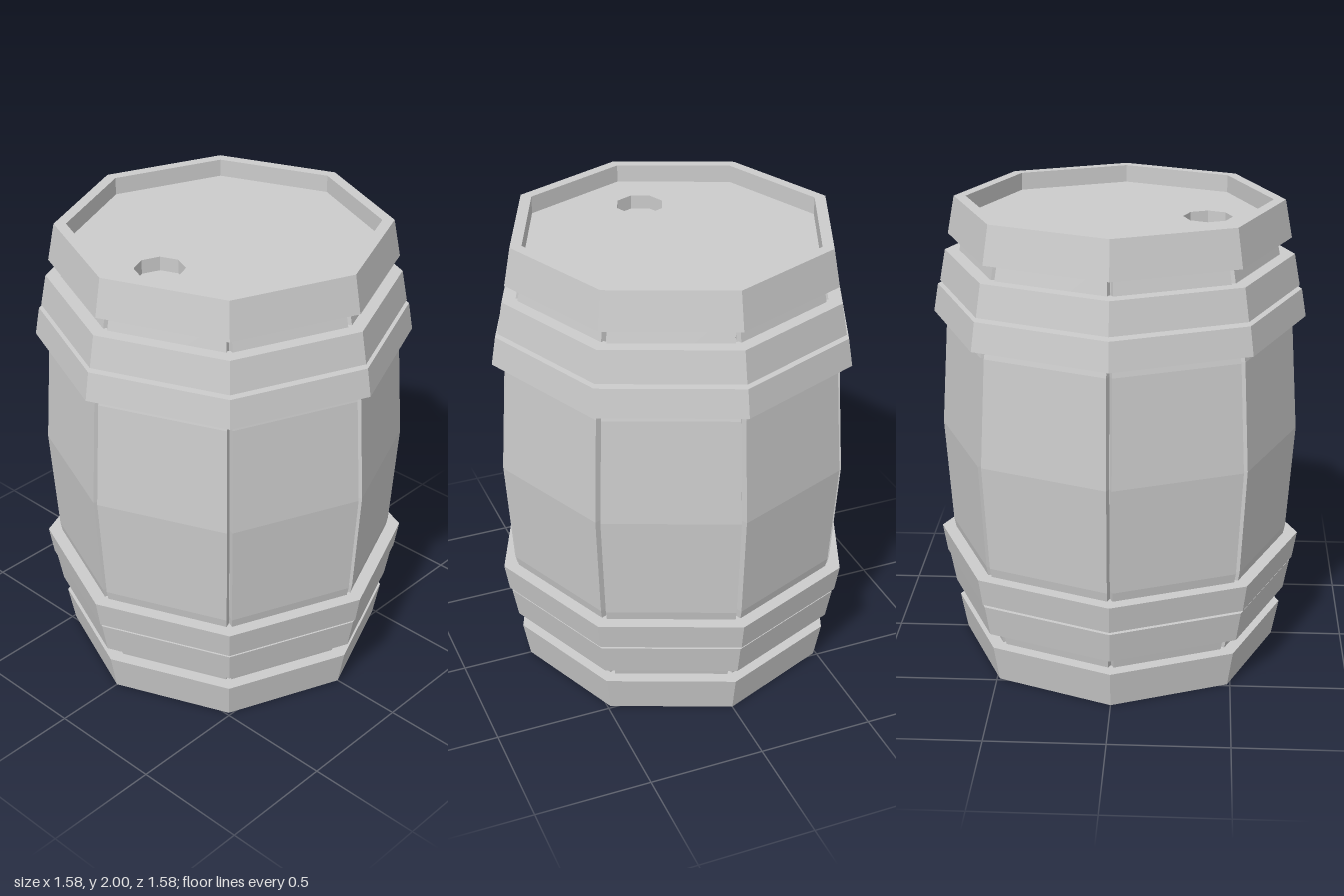
import * as THREE from 'three';

const SIDES = 8;
const STEP = (Math.PI * 2) / SIDES;

export function createModel() {
  const barrel = new THREE.Group();
  barrel.name = 'barrel';
  const material = new THREE.MeshStandardMaterial({ color: 0xcccccc, flatShading: true });

  const add = (name, geometry) => {
    const mesh = new THREE.Mesh(geometry, material);
    mesh.name = name;
    barrel.add(mesh);
    return mesh;
  };
  // Octagonal solid of revolution from [radius, height] pairs
  const turned = (profile) =>
    new THREE.LatheGeometry(profile.map(([r, y]) => new THREE.Vector2(r, y)), SIDES);
  // Octagon points with corners on the axes
  const octagon = (r, cx = 0) =>
    Array.from({ length: SIDES }, (_, i) =>
      new THREE.Vector2(cx + r * Math.cos(i * STEP), r * Math.sin(i * STEP)));

  // Bulging side profile, as [corner radius, height]
  const bulge = [[0.65, 0.1], [0.74, 0.54], [0.77, 1], [0.74, 1.46], [0.65, 1.9]];
  const grooveDepth = 0.03;
  const grooveHalf = 0.012;

  // Inner body seen in the grooves, closed below by the bottom panel
  add('body', turned([
    [0, 0.075], [0.65 - grooveDepth, 0.075],
    ...bulge.map(([r, y]) => [r - grooveDepth, y]).slice(0, -1),
    [0.63, 1.865], [0, 1.865],
  ]));
  add('bottomPanel', turned([[0, 0.075], [0.645, 0.075], [0.645, 0.12], [0, 0.12]]));

  // One bent plank per side, separated by narrow grooves
  const stave = new THREE.BoxGeometry(1, 1, 1, 1, bulge.length - 1, 1);
  const pos = stave.attributes.position;
  for (let i = 0; i < pos.count; i++) {
    const level = Math.round((pos.getY(i) + 0.5) * (bulge.length - 1));
    const [r, y] = bulge[level];
    const half = r * Math.sin(STEP / 2) - grooveHalf;
    const face = r * Math.cos(STEP / 2);
    pos.setXYZ(i, Math.sign(pos.getX(i)) * half, y, pos.getZ(i) > 0 ? face : face - grooveDepth - 0.01);
  }
  stave.computeVertexNormals();
  for (let i = 0; i < SIDES; i++) add('stave', stave).rotation.y = (i + 0.5) * STEP;

  // Hoops: [name, low y, high y, low radius, high radius, inner radius], mirrored to the lower half
  const hoops = [
    ['endHoop', 1.84, 2, 0.72, 0.69, 0.64],
    ['outerHoop', 1.635, 1.77, 0.76, 0.735, 0.66],
    ['innerHoop', 1.5, 1.62, 0.79, 0.77, 0.69],
  ];
  for (const [name, y0, y1, r0, r1, inner] of hoops) {
    add(name + 'Top', turned([[inner, y0], [r0, y0], [r1, y1], [inner, y1], [inner, y0]]));
    add(name + 'Bottom', turned([
      [inner, 2 - y1], [r1, 2 - y1], [r0, 2 - y0], [inner, 2 - y0], [inner, 2 - y1],
    ]));
  }

  // Recessed lid with a bung hole; the body top forms the hole's floor
  const lidShape = new THREE.Shape(octagon(0.645));
  lidShape.holes.push(new THREE.Path(octagon(0.103, -0.37).reverse()));
  const lid = new THREE.ExtrudeGeometry(lidShape, { depth: 0.06, bevelEnabled: false });
  lid.rotateX(-Math.PI / 2);
  add('lid', lid).position.y = 1.865;

  return barrel;
}
